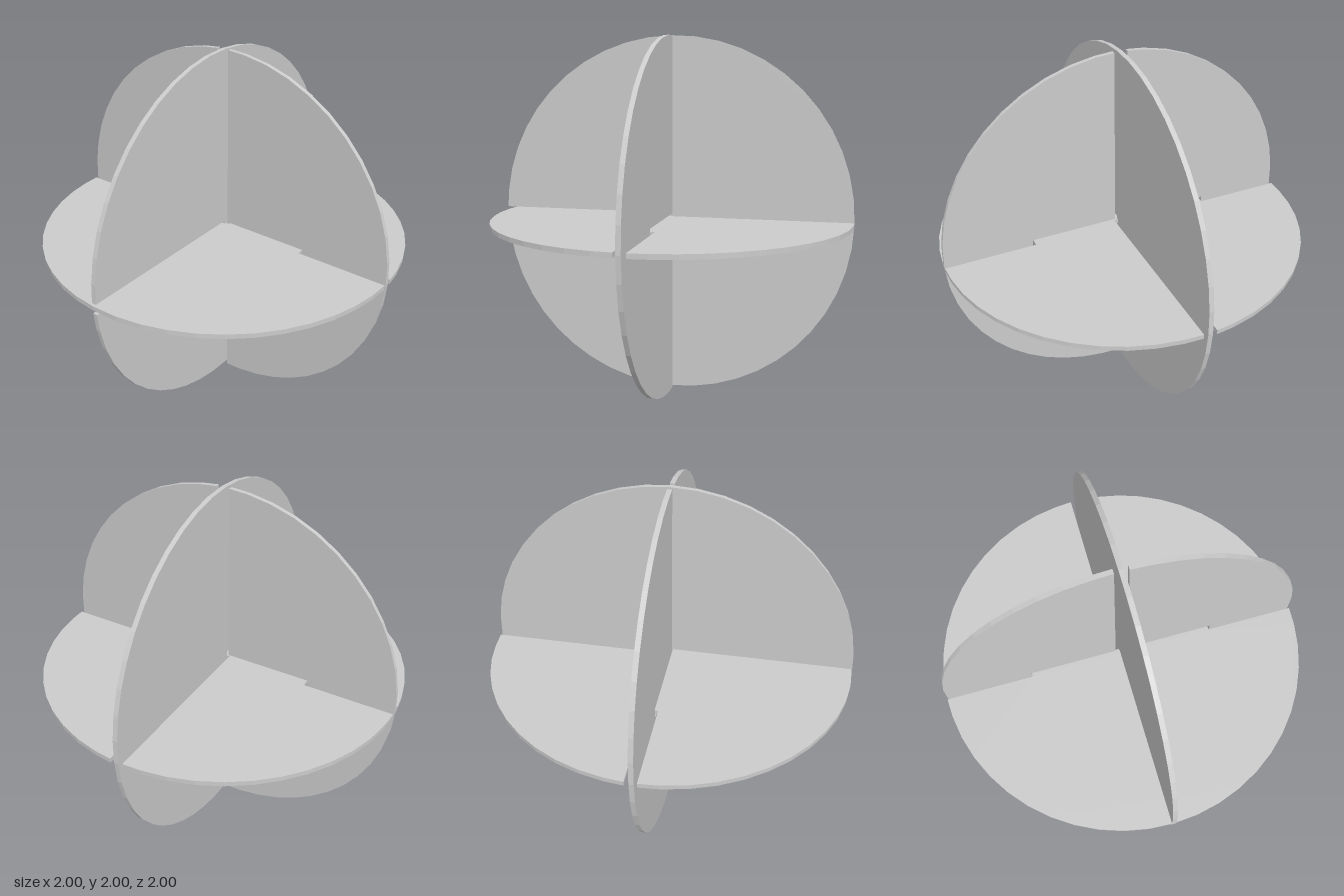
import * as THREE from 'three';

const THICK = 0.025;
const STEP = Math.PI / 24; // 48-sided rims

// Rim points of the unit disc from angle a to angle b
function rim(a, b) {
  const pts = [[Math.cos(a), Math.sin(a)]];
  for (let i = Math.floor(a / STEP) + 1; i * STEP < b - 1e-4; i++) {
    pts.push([Math.cos(i * STEP), Math.sin(i * STEP)]);
  }
  pts.push([Math.cos(b), Math.sin(b)]);
  return pts;
}

// Flat plate cut from an outline, centred on its own plane
function plate(name, points) {
  const shape = new THREE.Shape(points.map(([x, y]) => new THREE.Vector2(x, y)));
  const geometry = new THREE.ExtrudeGeometry(shape, { depth: THICK, bevelEnabled: false });
  geometry.translate(0, 0, -THICK / 2);
  const material = new THREE.MeshStandardMaterial({ color: 0xcccccc, flatShading: true });
  const mesh = new THREE.Mesh(geometry, material);
  mesh.name = name;
  return mesh;
}

export function createModel() {
  const model = new THREE.Group();
  model.name = 'interlockingDiscs';
  const discs = new THREE.Group();
  discs.name = 'discs';
  discs.position.y = 1;
  model.add(discs);

  const gap = 0.035;  // half width of the slots around the side disc
  const slot = 0.03;  // half width of the slots around the level disc
  const reach = 0.515; // where the crosswise slots meet
  const H = Math.PI / 2;

  // Crosswise disc: two halves, each with an inner slot for the level disc
  for (const side of [1, -1]) {
    const half = plate(side > 0 ? 'leftHalfDisc' : 'rightHalfDisc', [
      ...rim(-H + Math.asin(gap), H - Math.asin(gap)),
      [gap, slot], [reach + 0.005, slot], [reach + 0.005, -slot], [gap, -slot],
    ]);
    half.rotation.z = side > 0 ? 0 : Math.PI;
    discs.add(half);
  }

  // Fore-and-aft disc: slotted from its front rim to the centre
  const upright = plate('foreAftDisc', [
    ...rim(Math.asin(slot), 2 * Math.PI - Math.asin(slot)),
    [0.01, -slot], [0.01, slot],
  ]);
  upright.rotation.y = -H;
  discs.add(upright);

  // Level disc: slotted from the back to the centre, with short slots at both sides
  const back = 0.035, front = 0.027, end = reach - 0.005;
  const level = plate('levelDisc', [
    ...rim(Math.asin(back), H - Math.asin(gap)),
    [gap, 0], [-gap, 0],
    ...rim(H + Math.asin(gap), Math.PI - Math.asin(back)),
    [-end, back], [-end, -front],
    ...rim(Math.PI + Math.asin(front), 2 * Math.PI - Math.asin(front)),
    [end, -front], [end, back],
  ]);
  level.rotation.x = -H;
  discs.add(level);

  return model;
}
